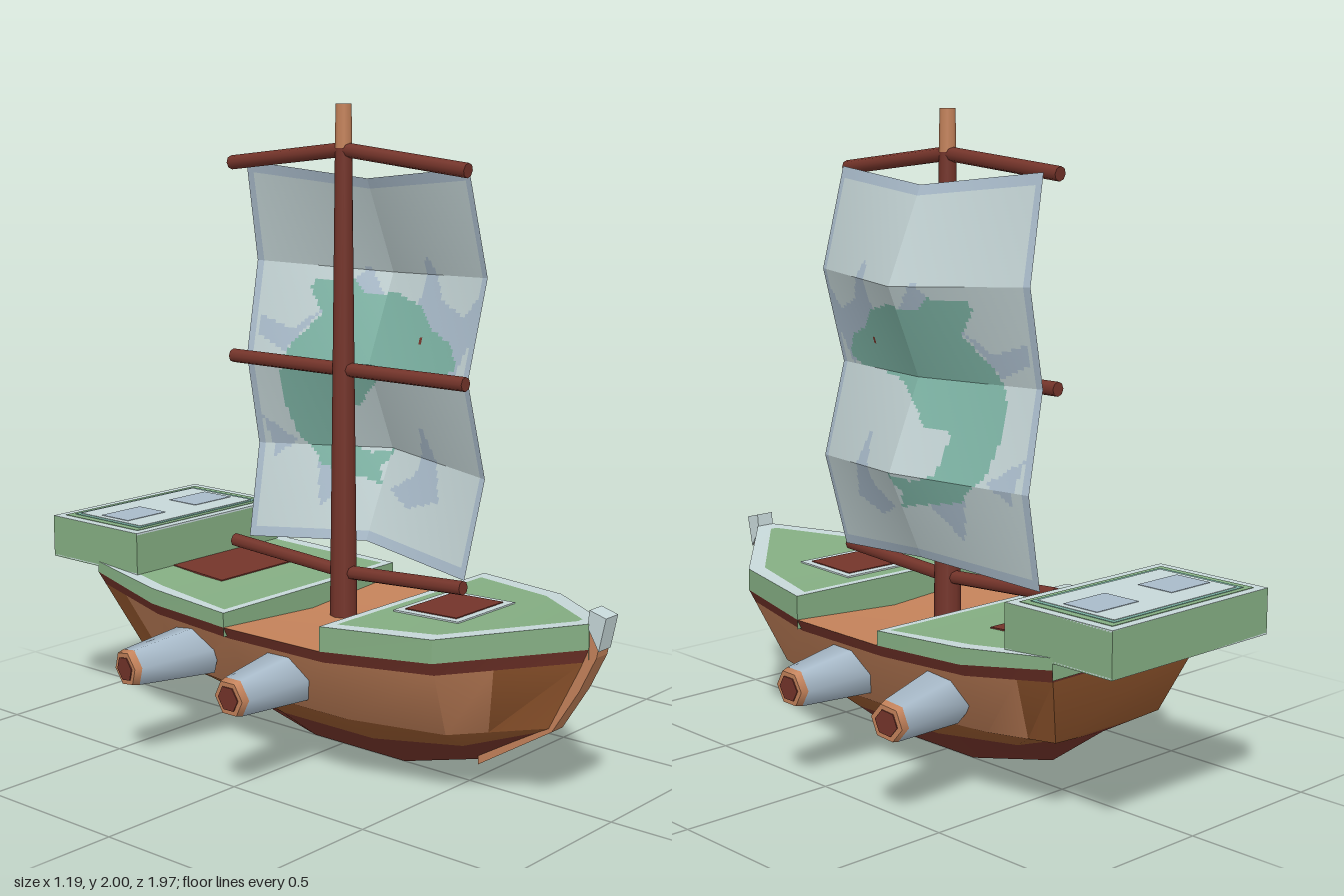
import * as THREE from 'three';
import { toCreasedNormals } from 'three/addons/utils/BufferGeometryUtils.js';

const mat = (name, color) => new THREE.MeshStandardMaterial({ name, color });

export function createModel() {
  const ship = new THREE.Group();
  ship.name = 'sailingShip';
  const darkWood = mat('darkWood', 0x74342a), orange = mat('orangeWood', 0xc4825a), brown = mat('brownWood', 0x97592f);
  const green = mat('green', 0x84ad82), trim = mat('paleTrim', 0xc6d7d8), cloth = mat('sailCloth', 0xc0d0d1);
  const blue = mat('paleBlue', 0xa8bac9), teal = mat('teal', 0x7cb2a3);
  for (const m of [cloth, blue, teal, darkWood]) m.side = THREE.DoubleSide;

  const add = (name, geo, material, parent = ship) => {
    const mesh = new THREE.Mesh(geo, material);
    mesh.name = name;
    parent.add(mesh);
    return mesh;
  };
  // Collects quads by material and turns them into one mesh with groups
  const painter = () => {
    const buckets = new Map();
    const quad = (m, a, b, c, d) => {
      if (!buckets.has(m)) buckets.set(m, []);
      buckets.get(m).push(...a, ...b, ...c, ...a, ...c, ...d);
    };
    const flip = p => [-p[0], p[1], p[2]];
    const pair = (m, a, b, c, d) => {
      quad(m, a, b, c, d);
      quad(m, flip(d), flip(c), flip(b), flip(a));
    };
    const build = (name, crease) => {
      const geo = new THREE.BufferGeometry(), mats = [...buckets.keys()];
      let start = 0;
      mats.forEach((m, i) => {
        const n = buckets.get(m).length / 3;
        geo.addGroup(start, n, i);
        start += n;
      });
      geo.setAttribute('position', new THREE.Float32BufferAttribute(mats.flatMap(m => buckets.get(m)), 3));
      geo.computeVertexNormals();
      return add(name, crease ? toCreasedNormals(geo, crease) : geo, mats);
    };
    return { quad, pair, flip, build };
  };
  const mix = (a, b, t) => a.map((v, i) => v + (b[i] - v) * t);

  // Hull: each station is keel, chine and rim, from bow to stern
  const main = [
    [[0, 0.22, 0.79], [0.02, 0.24, 0.81], [0.03, 0.5, 0.93]],
    [[0, 0.08, 0.55], [0.2, 0.21, 0.56], [0.32, 0.46, 0.6]],
    [[0, 0, 0.25], [0.28, 0.21, 0.25], [0.4, 0.445, 0.25]],
    [[0, 0, -0.12], [0.28, 0.21, -0.12], [0.405, 0.445, -0.13]],
    [[0, 0.08, -0.46], [0.25, 0.22, -0.44], [0.385, 0.455, -0.46]],
    [[0, 0.22, -0.66], [0.22, 0.24, -0.68], [0.33, 0.495, -0.77]],
  ];
  const between = (i, t) => main[i].map((p, k) => mix(p, main[i + 1][k], t));
  const stations = [main[0], between(0, 0.6), ...main.slice(1, 5), between(4, 0.6), main[5]];
  const hull = painter();
  const rows = stations.map(([k, c, r]) => [k, mix(k, c, 0.55), c, mix(c, r, 0.84), r]);
  for (let i = 0; i < rows.length - 1; i++) {
    const side = i === 0 || i === rows.length - 2 ? brown : orange;
    [darkWood, brown, side, darkWood].forEach((m, j) =>
      hull.pair(m, rows[i][j], rows[i + 1][j], rows[i + 1][j + 1], rows[i][j + 1]));
  }
  const stern = rows[rows.length - 1];
  [darkWood, brown, brown, darkWood].forEach((m, j) =>
    hull.quad(m, stern[j], hull.flip(stern[j]), hull.flip(stern[j + 1]), stern[j + 1]));
  // Waist deck between the raised decks
  hull.pair(orange, main[2][2], main[3][2], [0, 0.42, -0.13], [0, 0.42, 0.25]);
  hull.build('hull', 0.55);

  // Raised decks: green sides, pale border, green top
  const raisedDeck = (name, rim, tops, inner) => {
    const d = painter(), n = rim.length - 1;
    const outer = rim.map((p, i) => [p[0], tops[i], p[2]]);
    for (let i = 0; i < n; i++) {
      d.pair(green, rim[i], rim[i + 1], outer[i + 1], outer[i]);
      d.pair(trim, outer[i], outer[i + 1], inner[i + 1], inner[i]);
      d.quad(green, inner[i], inner[i + 1], d.flip(inner[i + 1]), d.flip(inner[i]));
    }
    const low = p => [p[0], p[1] - 0.03, p[2]];
    d.quad(green, d.flip(low(rim[0])), low(rim[0]), outer[0], d.flip(outer[0]));
    d.quad(green, low(rim[n]), d.flip(low(rim[n])), d.flip(outer[n]), outer[n]);
    d.quad(trim, d.flip(outer[0]), outer[0], inner[0], d.flip(inner[0]));
    d.quad(trim, outer[n], d.flip(outer[n]), d.flip(inner[n]), inner[n]);
    d.build(name, 0.4);
  };
  raisedDeck('foreDeck', main.slice(0, 3).map(s => s[2]), [0.575, 0.53, 0.52],
    [[0.012, 0.57, 0.88], [0.27, 0.53, 0.58], [0.35, 0.52, 0.275]]);
  raisedDeck('aftDeck', main.slice(3).map(s => s[2]), [0.49, 0.505, 0.53],
    [[0.375, 0.491, -0.155], [0.34, 0.505, -0.46], [0.29, 0.529, -0.75]]);

  // Thin painted plate
  const plate = (name, m, w, l, x, y, z, tilt = 0) => {
    const p = add(name, new THREE.BoxGeometry(w, 0.006, l), m);
    p.position.set(x, y, z);
    p.rotation.x = tilt;
  };
  plate('foreHatchFrame', trim, 0.28, 0.24, 0, 0.527, 0.435, -0.03);
  plate('foreHatch', darkWood, 0.23, 0.19, 0, 0.53, 0.435, -0.03);
  plate('aftHatch', darkWood, 0.34, 0.22, 0, 0.508, -0.475, 0.06);

  // Stern platform with inset panels above and below
  add('sternPlatform', new THREE.BoxGeometry(0.66, 0.135, 0.4), green).position.set(0, 0.5825, -0.785);
  for (const s of [1, -1]) {
    const layer = (name, m, w, l, x, k) => plate(name, m, w, l, x, 0.5825 + s * (0.0655 + k * 0.0016), -0.785);
    layer('platformBorder', trim, 0.66, 0.4, 0, 0);
    layer('platformFrame', green, 0.6, 0.345, 0, 1);
    layer('platformLine', teal, 0.55, 0.31, 0, 2);
    layer('platformPanel', trim, 0.52, 0.285, 0, 3);
    for (const x of [-0.155, 0.155]) layer('platformInset', blue, 0.17, 0.125, x, 4);
  }

  // Stem post along the bow, profile in z and y
  const profile = (name, pts, m, width) => {
    const geo = new THREE.ExtrudeGeometry(new THREE.Shape(pts.map(p => new THREE.Vector2(...p))),
      { depth: width, bevelEnabled: false });
    geo.translate(0, 0, -width / 2).rotateY(-Math.PI / 2);
    add(name, geo, m);
  };
  profile('stemPost', [[0.55, 0.07], [0.81, 0.23], [0.9, 0.37], [0.955, 0.48], [0.975, 0.58],
    [0.93, 0.58], [0.92, 0.5], [0.87, 0.4], [0.76, 0.26], [0.55, 0.11]], orange, 0.055);
  profile('stemCap', [[0.963, 0.5], [0.985, 0.6], [0.93, 0.615], [0.925, 0.565]], trim, 0.062);

  // Tapered rod between two points
  const rod = (name, a, b, r1, r2, m, sides = 8) => {
    const from = new THREE.Vector3(...a), dir = new THREE.Vector3(...b).sub(from);
    const mesh = add(name, new THREE.CylinderGeometry(r2, r1, dir.length(), sides), m);
    mesh.position.copy(from).addScaledVector(dir, 0.5);
    mesh.quaternion.setFromUnitVectors(new THREE.Vector3(0, 1, 0), dir.normalize());
  };
  rod('mast', [0, 0.4, 0], [0, 1.87, 0], 0.043, 0.026, darkWood);
  rod('mastTop', [0, 1.87, 0], [0, 2, 0], 0.026, 0.024, orange);
  for (const [mid, end] of [[0.562, 0.59], [1.2, 1.2], [1.865, 1.815]]) {
    for (const s of [-1, 1]) rod('yard', [0, mid, 0], [0, end, s * 0.467], 0.022, 0.022, darkWood);
  }

  // Cannons, two on each side
  for (const s of [-1, 1]) {
    for (const [z0, z1] of [[0.068, 0.062], [-0.325, -0.375]]) {
      const at = t => [s * (0.3 + 0.283 * t), 0.322 - 0.014 * t, z0 + (z1 - z0) * t];
      rod('cannonBarrel', at(0), at(0.92), 0.092, 0.062, blue, 6);
      rod('cannonRing', at(0.92), at(1), 0.062, 0.056, orange, 6);
      rod('cannonMuzzle', at(0.98), at(1.012), 0.04, 0.04, darkWood, 6);
    }
  }

  // Sail: folded grid with painted areas in z and y
  const dolphin = [[.39, 1.23], [.34, 1.3], [.25, 1.33], [.18, 1.39], [.06, 1.42], [-.07, 1.41], [-.12, 1.45],
    [-.25, 1.45], [-.26, 1.42], [-.2, 1.34], [-.28, 1.26], [-.33, 1.16], [-.34, 1.05], [-.31, .93], [-.22, .85],
    [-.1, .83], [0, .81], [-.02, .86], [.02, .92], [-.07, .9], [-.15, .93], [-.17, 1.05], [-.07, 1.06],
    [-.01, 1.13], [.07, 1.18], [.22, 1.2], [.32, 1.2]];
  const patches = [
    [[.46, 1.47], [.38, 1.38], [.27, 1.42], [.18, 1.56], [.16, 1.36], [.3, 1.25], [.38, 1.2], [.42, 1.3], [.46, 1.2]],
    [[.27, .8], [.18, 1.03], [.14, .86], [.04, .8], [.14, .76]],
    [[0, 1.4], [-.08, 1.5], [-.14, 1.42]],
    [[-.2, 1.36], [-.3, 1.29], [-.42, 1.33], [-.42, 1.27], [-.31, 1.22]],
    [[-.1, .84], [-.2, .72], [-.24, .86]],
    [[-.32, .92], [-.4, .86], [-.43, 1.0]],
  ];
  const inside = (poly, z, y) => poly.reduce((hit, [z1, y1], i) => {
    const [z2, y2] = poly[(i + poly.length - 1) % poly.length];
    return (y1 > y) !== (y2 > y) && z < (z2 - z1) * (y - y1) / (y2 - y1) + z1 ? !hit : hit;
  }, false);
  const edgeRows = [[.04, .6, .44], [.11, .9, .46], [.04, 1.2, .445], [.11, 1.5, .46], [.04, 1.82, .44]];
  const midRows = [[.11, .64, 0], [.24, .92, 0], [.12, 1.2, 0], [.24, 1.48, 0], [.11, 1.775, 0]];
  const sailPoint = (u, v) => {
    const i = Math.min(3, Math.floor(v * 4)), t = v * 4 - i;
    const p = mix(mix(midRows[i], midRows[i + 1], t), mix(edgeRows[i], edgeRows[i + 1], t), Math.abs(u));
    return [p[0], p[1], Math.sign(u) * p[2]];
  };
  const sail = painter(), NU = 80, NV = 112;
  for (let i = 0; i < NU; i++) {
    for (let j = 0; j < NV; j++) {
      const u = k => (k / NU) * 2 - 1, v = k => k / NV;
      const [, y, z] = sailPoint(u(i + 0.5), v(j + 0.5));
      const border = Math.abs(u(i + 0.5)) > 0.94 || v(j) < 0.02 || v(j) > 0.97;
      let m = border || patches.some(p => inside(p, z, y)) ? blue : cloth;
      if (inside(dolphin, z, y)) m = Math.hypot(z - 0.21, y - 1.29) < 0.009 ? darkWood : teal;
      sail.quad(m, sailPoint(u(i + 1), v(j)), sailPoint(u(i), v(j)), sailPoint(u(i), v(j + 1)), sailPoint(u(i + 1), v(j + 1)));
    }
  }
  sail.build('sail');
  return ship;
}
